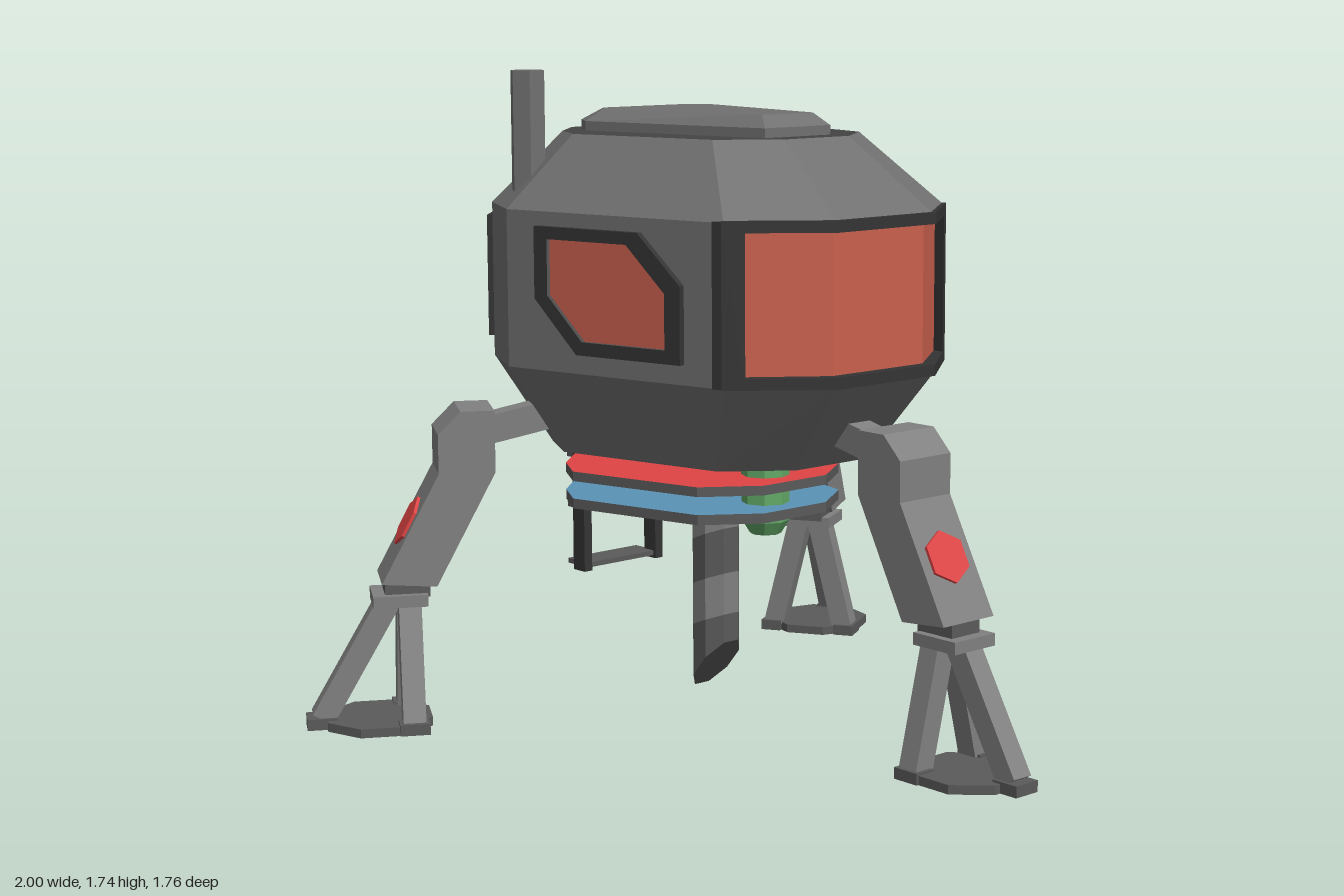
import * as THREE from 'three';

const mat = (name, color, side = THREE.FrontSide) => {
  const m = new THREE.MeshStandardMaterial({ color, side, flatShading: true });
  m.name = name;
  return m;
};
const M = {
  hull: mat('hull grey', 0x707070),
  leg: mat('leg grey', 0x808080),
  deck: mat('roof dark grey', 0x444444),
  frame: mat('frame charcoal', 0x343434),
  glass: mat('orange glass', 0xca604e, THREE.DoubleSide),
  red: mat('signal red', 0xdf4444),
  blue: mat('plate blue', 0x5a93b5),
  green: mat('tank green', 0x62a866),
  dark: mat('panel grey', 0x5a5a5a),
};

const V = (x, y, z) => new THREE.Vector3(x, y, z);
const mesh = (name, geo, material, parent, x = 0, y = 0, z = 0) => {
  const m = new THREE.Mesh(geo, material);
  m.name = name;
  m.position.set(x, y, z);
  parent.add(m);
  return m;
};

// Flat-faced skin through rings of equal point count; caps are fans
function loft(rings, { bottom = false, top = false, skip = () => false } = {}) {
  const pos = [];
  const tri = (...p) => p.forEach((v) => pos.push(v.x, v.y, v.z));
  const n = rings[0].length;
  for (let r = 0; r + 1 < rings.length; r++) {
    for (let i = 0; i < n; i++) {
      if (skip(r, i)) continue;
      const j = (i + 1) % n, a = rings[r], b = rings[r + 1];
      tri(a[i], a[j], b[j]);
      tri(a[i], b[j], b[i]);
    }
  }
  const cap = (ring, up) => {
    const c = ring.reduce((s, p) => s.add(p), V(0, 0, 0)).divideScalar(n);
    ring.forEach((p, i) => {
      const q = ring[(i + 1) % n];
      up ? tri(c, p, q) : tri(c, q, p);
    });
  };
  if (bottom) cap(rings[0], false);
  if (top) cap(rings[rings.length - 1], true);
  const g = new THREE.BufferGeometry();
  g.setAttribute('position', new THREE.Float32BufferAttribute(pos, 3));
  g.computeVertexNormals();
  return g;
}

const shapeOf = (pts) => new THREE.Shape(pts.map(([x, y]) => new THREE.Vector2(x, y)));
const extrude = (shape, depth) => new THREE.ExtrudeGeometry(shape, { depth, bevelEnabled: false });
// Upright prism from a plan outline of [x, z] points
const prism = (plan, y0, y1) =>
  extrude(shapeOf(plan.map(([x, z]) => [x, -z])), y1 - y0).rotateX(-Math.PI / 2).translate(0, y0, 0);

// Completes a right-hand half plan with its mirror image
const mirrored = (half) => [...half, ...half.map(([x, z]) => [-x, z]).reverse()];
const PLAN = mirrored([[0.17, 0.375], [0.39, 0.2], [0.545, -0.48], [0.44, -0.685], [0.25, -0.875]]);
const scaled = (sx, sz, zc) => PLAN.map(([x, z]) => [x * sx, zc + (z - zc) * sz]);
const ringAt = (plan, y) => plan.map(([x, z]) => V(x, y, z));

// Square bar between two points
function beam(name, a, b, w, material, parent) {
  const d = b.clone().sub(a);
  const m = mesh(name, new THREE.BoxGeometry(w, d.length(), w), material, parent);
  m.position.copy(a).add(b).multiplyScalar(0.5);
  m.quaternion.setFromUnitVectors(V(0, 1, 0), d.normalize());
}

// Framed window on a hull facet; outlines are [distance along facet, height]
function facetWindow(name, i, outer, inner, glass, parent) {
  for (const side of [1, -1]) {
    let [a, b] = [PLAN[i], PLAN[i + 1]];
    if (side < 0) [a, b] = [[-b[0], b[1]], [-a[0], a[1]]];
    const dx = b[0] - a[0], dz = b[1] - a[1], len = Math.hypot(dx, dz);
    const flip = (pts) => pts.map(([u, y]) => [side > 0 ? u : len - u, y]);
    const g = new THREE.Group();
    g.name = name;
    g.position.set(a[0], 0, a[1]);
    g.rotation.y = Math.atan2(-dz, dx);
    const s = shapeOf(flip(outer));
    s.holes.push(new THREE.Path(flip(inner).map(([x, y]) => new THREE.Vector2(x, y))));
    mesh(name + 'Frame', extrude(s, 0.018), M.frame, g);
    mesh(name + 'Pane', extrude(shapeOf(flip(inner)), 0.006), glass, g);
    parent.add(g);
  }
}

function buildHull(root) {
  const Y0 = 0.97, Y1 = 1.385;
  const top = ringAt(scaled(0.665, 0.646, -0.337), 1.575);
  // Wall faces at the front window and back door are left open
  const open = [8, 9, 0, 4];
  mesh('hull', loft([ringAt(scaled(0.735, 0.72, -0.32), 0.73), ringAt(PLAN, Y0), ringAt(PLAN, Y1), top],
    { bottom: true, skip: (r, i) => r === 1 && open.includes(i) }), M.hull, root);
  mesh('roofDeck', loft([top], { top: true }), M.deck, root);

  // Raised roof hatch
  const outer = mirrored([[0.115, 0.05], [0.24, -0.53], [0.19, -0.61]]);
  const inner = mirrored([[0.09, 0.01], [0.19, -0.515], [0.15, -0.565]]);
  mesh('roofHatch', loft([ringAt(outer, 1.57), ringAt(outer, 1.6), ringAt(inner, 1.632)], { top: true }), M.hull, root);
  mesh('chimney', new THREE.CylinderGeometry(0.048, 0.048, 0.44, 6).rotateY(Math.PI / 6), M.hull, root, -0.425, 1.52, -0.54);

  // Wraparound front window
  const path = [[-0.37, 0.19], [-0.16, 0.35], [0.16, 0.35], [0.37, 0.19]];
  mesh('frontWindow', loft([ringAt(path, 0.98), ringAt(path, 1.38)], { skip: (r, i) => i === 3 }), M.glass, root);
  const bar = [[-0.398, 0.2], [-0.173, 0.383], [0.173, 0.383], [0.398, 0.2],
    [0.36, 0.16], [0.15, 0.325], [-0.15, 0.325], [-0.36, 0.16]];
  for (const y of [0.968, 1.36]) mesh('frontWindowRail', prism(bar, y, y + 0.03), M.frame, root);
  for (const s of [1, -1]) {
    const post = [[0.352, 0.237], [0.398, 0.2], [0.407, 0.175], [0.352, 0.175]].map(([x, z]) => [x * s, z]);
    mesh('frontWindowPost', prism(post, 0.97, 1.388), M.frame, root);
  }

  // Side windows with two clipped corners, and small rear windows
  facetWindow('sideWindow', 1,
    [[0.123, 1.022], [0.456, 1.022], [0.592, 1.16], [0.592, 1.348], [0.256, 1.348], [0.123, 1.222]],
    [[0.171, 1.057], [0.437, 1.057], [0.549, 1.17], [0.549, 1.316], [0.292, 1.316], [0.171, 1.2]], M.glass, root);
  const pane = [[0.067, 1.05], [0.2, 1.05], [0.215, 1.065], [0.215, 1.305], [0.2, 1.32],
    [0.067, 1.32], [0.052, 1.305], [0.052, 1.065]];
  facetWindow('rearWindow', 3, [[0.02, 1.02], [0.245, 1.02], [0.245, 1.348], [0.02, 1.348]], pane, M.dark, root);

  // Recessed back door and handle
  const rect = (w, inset, z) => [V(w, Y0 + inset, z), V(-w, Y0 + inset, z), V(-w, Y1 - inset, z), V(w, Y1 - inset, z)];
  mesh('backDoor', loft([rect(0.25, 0, -0.875), rect(0.225, 0.022, -0.875), rect(0.2, 0.045, -0.85)], { top: true }), M.hull, root);
  mesh('doorHandle', new THREE.BoxGeometry(0.065, 0.022, 0.04), M.frame, root, -0.14, 0.99, -0.866);
}

function buildUnderside(root) {
  // Coloured plates with grey rims
  const plan = scaled(0.655, 0.58, -0.42);
  mesh('upperPlate', prism(plan, 0.642, 0.668), [M.red, M.dark], root);
  mesh('lowerPlate', prism(plan, 0.567, 0.594), [M.blue, M.dark], root);

  // Hanging tanks
  for (const [name, z, m] of [['frontTank', -0.077, M.green], ['rearTank', -0.46, M.glass]]) {
    mesh(name, new THREE.CylinderGeometry(0.065, 0.065, 0.19, 8), m, root, 0, 0.64, z);
    mesh(name + 'Tip', new THREE.CylinderGeometry(0.065, 0.042, 0.037, 8), m, root, 0, 0.527, z);
  }

  // Banded chute, cut at a slant at its foot
  const cut = (y, slope) => Array.from({ length: 8 }, (_, i) => {
    const t = Math.PI / 8 + (i * Math.PI) / 4, z = -0.28 + 0.067 * Math.cos(t);
    return V(0.067 * Math.sin(t), y + slope * (z + 0.28), z);
  });
  const cuts = [cut(0.11, 1.15), cut(0.235, 0.4), cut(0.35, 0.4), cut(0.475, 0.4), cut(0.73, 0)];
  for (let i = 0; i < 4; i++) {
    mesh('chuteBand', loft([cuts[i], cuts[i + 1]], { bottom: i === 0 }), i % 2 ? M.leg : M.dark, root);
  }
  cuts.length = 0;

  // Boarding ladder
  for (const x of [0.13, -0.13]) mesh('ladderRail', new THREE.BoxGeometry(0.027, 0.41, 0.05), M.frame, root, x, 0.525, -0.705);
  for (const y of [0.645, 0.5, 0.335]) mesh('ladderRung', new THREE.BoxGeometry(0.25, 0.014, 0.09), M.dark, root, 0, y, -0.733);
}

function buildLeg() {
  const g = new THREE.Group();
  g.name = 'leg';
  beam('hullStrut', V(0, 0.785, 0.42), V(0, 0.845, 0.15), 0.075, M.leg, g);
  // Bent upper leg, profile in z and y
  const profile = shapeOf([[0.37, 0.855], [0.37, 0.69], [0.53, 0.388], [0.675, 0.4], [0.52, 0.69], [0.52, 0.795], [0.46, 0.855]]);
  mesh('upperLeg', extrude(profile, 0.18).rotateY(-Math.PI / 2).translate(0.09, 0, 0), M.leg, g);
  // Hexagonal badge on the sloping face
  const badge = mesh('badge', new THREE.CylinderGeometry(0.07, 0.07, 0.018, 6), M.red, g, 0, 0.55, 0.594);
  badge.rotation.x = Math.atan2(0.885, 0.465);
  // Ankle
  mesh('ankle', new THREE.BoxGeometry(0.1, 0.05, 0.12), M.dark, g, 0, 0.378, 0.605);
  mesh('ankleCollar', new THREE.BoxGeometry(0.145, 0.032, 0.145), M.leg, g, 0, 0.347, 0.625);
  // Tripod foot
  beam('toeStrut', V(0, 0.345, 0.65), V(0, 0.025, 0.835), 0.062, M.leg, g);
  mesh('toePad', new THREE.BoxGeometry(0.078, 0.03, 0.08), M.dark, g, 0, 0.015, 0.837);
  for (const s of [1, -1]) {
    beam('sideStrut', V(s * 0.03, 0.345, 0.6), V(s * 0.108, 0.025, 0.6), 0.06, M.leg, g);
    mesh('sidePad', new THREE.BoxGeometry(0.06, 0.03, 0.08), M.dark, g, s * 0.115, 0.015, 0.6);
  }
  mesh('footPlate', new THREE.CylinderGeometry(0.15, 0.15, 0.024, 8).rotateY(Math.PI / 8), M.dark, g, 0, 0.012, 0.685);
  return g;
}

export function createModel() {
  const root = new THREE.Group();
  root.name = 'landerPod';
  buildHull(root);
  buildUnderside(root);
  for (const s of [0, 1, -1]) {
    const leg = buildLeg();
    leg.name = ['frontLeg', 'backLeftLeg', 'backRightLeg'].at(s);
    if (s) leg.position.set(s * 0.219, 0, -0.387);
    leg.rotation.y = (s * 2 * Math.PI) / 3;
    root.add(leg);
  }
  return root;
}
